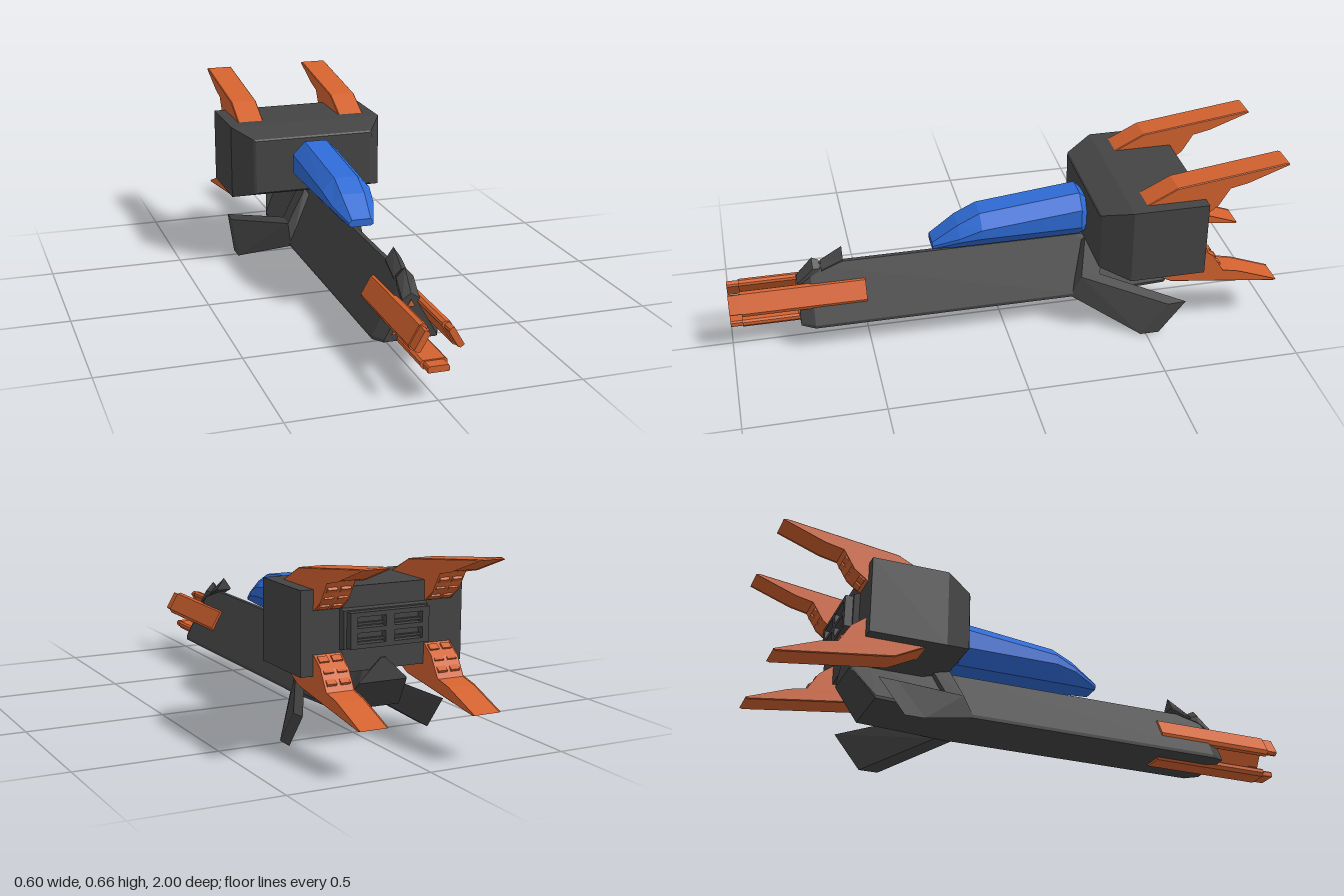
import * as THREE from 'three';

const material = (color) => new THREE.MeshStandardMaterial({ color, flatShading: true, side: THREE.DoubleSide });
const dark = material(0x444444);
const orange = material(0xd4622f);
const blue = material(0x2f6bd6);

function mesh(name, geometry, mat) {
  const m = new THREE.Mesh(geometry, mat);
  m.name = name;
  return m;
}

// Skin a list of rings (equal numbers of [x, y, z] points) and cap both ends
function loft(rings) {
  const tris = [];
  const n = rings[0].length;
  for (let i = 0; i + 1 < rings.length; i++) {
    for (let j = 0; j < n; j++) {
      const k = (j + 1) % n;
      const a = rings[i][j], b = rings[i][k], c = rings[i + 1][k], d = rings[i + 1][j];
      tris.push([a, b, c], [a, c, d]);
    }
  }
  const last = rings[rings.length - 1];
  for (let j = 1; j + 1 < n; j++) {
    tris.push([rings[0][0], rings[0][j + 1], rings[0][j]], [last[0], last[j], last[j + 1]]);
  }
  // Turn everything outward if the enclosed volume comes out negative
  const v = (p) => new THREE.Vector3(...p);
  const volume = tris.reduce((s, [a, b, c]) => s + v(a).dot(v(b).cross(v(c))), 0);
  if (volume < 0) tris.forEach((t) => t.reverse());
  const g = new THREE.BufferGeometry();
  g.setAttribute('position', new THREE.Float32BufferAttribute(tris.flat(2), 3));
  g.computeVertexNormals();
  return g;
}

// Mirror the +x half of an outline (listed bottom to top) into a full ring at z
const symmetric = (z, half) => [
  ...half.map(([x, y]) => [x, y, z]),
  ...half.map(([x, y]) => [-x, y, z]).reverse(),
];

const shapeOf = (pts) => new THREE.Shape(pts.map(([x, y]) => new THREE.Vector2(x, y)));

function createHull() {
  const triangle = [[0.115, 0.1], [0.116, 0.112], [0.008, 0.305]];
  return mesh('hull', loft([
    symmetric(-0.7, [[0.09, 0.225], [0.088, 0.23], [0.008, 0.305]]),
    symmetric(-0.61, [[0.115, 0.115], [0.116, 0.125], [0.008, 0.305]]),
    symmetric(-0.28, triangle),
    symmetric(0.7, triangle),
    symmetric(0.75, [[0.092, 0.105], [0.09, 0.115], [0.012, 0.255]]),
  ]), dark);
}

function createEngineBlock() {
  const rect = (z, w, y0, y1) => symmetric(z, [[w, y0], [w, y1]]);
  const group = new THREE.Group();
  group.name = 'engineBlock';
  group.add(mesh('engineHousing', loft([
    rect(-0.695, 0.3, 0.267, 0.548),
    rect(-0.42, 0.3, 0.267, 0.548),
    rect(-0.32, 0.237, 0.3, 0.517),
    rect(-0.315, 0.228, 0.306, 0.511),
  ]), dark));

  // Exhaust panel with a two by two grid of recessed openings
  group.add(mesh('exhaustBase', loft([
    rect(-0.715, 0.155, 0.348, 0.474),
    rect(-0.69, 0.162, 0.342, 0.48),
  ]), dark));
  const outline = shapeOf([[-0.145, 0.352], [0.145, 0.352], [0.145, 0.47], [-0.145, 0.47]]);
  for (const x of [-0.068, 0.068]) {
    for (const y of [0.385, 0.437]) {
      outline.holes.push(new THREE.Path([[-0.052, -0.018], [-0.052, 0.018], [0.052, 0.018], [0.052, -0.018]]
        .map(([dx, dy]) => new THREE.Vector2(x + dx, y + dy))));
      const slat = mesh('exhaustSlat', new THREE.BoxGeometry(0.104, 0.008, 0.014), dark);
      slat.position.set(x, y - 0.008, -0.721);
      group.add(slat);
    }
  }
  const frame = mesh('exhaustFrame', new THREE.ExtrudeGeometry(outline, { depth: 0.03, bevelEnabled: false }), dark);
  frame.position.z = -0.743;
  group.add(frame);
  return group;
}

function createCanopy() {
  // z, half width, half width of flats, then bottom, lower, upper and top heights
  const stations = [
    [-0.318, 0.06, 0.035, 0.335, 0.38, 0.43, 0.475],
    [-0.29, 0.09, 0.043, 0.33, 0.382, 0.455, 0.503],
    [0.08, 0.09, 0.043, 0.33, 0.382, 0.418, 0.463],
    [0.16, 0.078, 0.043, 0.33, 0.37, 0.385, 0.424],
    [0.255, 0.045, 0.035, 0.332, 0.337, 0.347, 0.358],
  ];
  return mesh('canopy', loft(stations.map(([z, w, f, a, b, c, d]) =>
    symmetric(z, [[f, a], [w, b], [w, c], [f, d]]))), blue);
}

// Swept wing: a bracket down the hull side, an elbow, then the blade
function createWing(side) {
  const rings = [
    [[0.035, 0.308, -0.32], [0.005, 0.26, -0.3], [0.005, 0.26, -0.37], [0.035, 0.308, -0.39]],
    [[0.113, 0.18, -0.29], [0.113, 0.102, -0.25], [0.113, 0.102, -0.315], [0.113, 0.185, -0.36]],
    [[0.267, 0.12, -0.58], [0.267, 0, -0.48], [0.267, 0, -0.55], [0.267, 0.123, -0.647]],
  ];
  return mesh(side > 0 ? 'leftWing' : 'rightWing',
    loft(rings.map((r) => r.map(([x, y, z]) => [x * side, y, z]))), dark);
}

// Tail fin, with ribs in the hollow behind its root
function createTailFin(x, up) {
  const group = new THREE.Group();
  group.name = (up > 0 ? 'upper' : 'lower') + (x > 0 ? 'Left' : 'Right') + 'TailFin';
  // z, height above the engine centre line
  const profile = [[-0.47, 0.135], [-0.59, 0.196], [-0.99, 0.249], [-1, 0.246],
    [-0.85, 0.19], [-0.785, 0.176], [-0.745, 0.11], [-0.695, 0.072], [-0.6, 0.072]];
  const ring = (w, s) => profile.map(([z, y]) => [x + w, 0.408 + up * (y - s), z]);
  group.add(mesh('finBlade', loft([ring(-0.05, 0.003), ring(-0.047, 0), ring(0.047, 0), ring(0.05, 0.003)]), orange));
  for (const [z, y] of [[-0.712, 0.088], [-0.742, 0.118], [-0.765, 0.15]]) {
    for (const dx of [-0.024, 0.024]) {
      const rib = mesh('finRib', new THREE.BoxGeometry(0.034, 0.016, 0.024), orange);
      rib.position.set(x + dx, 0.408 + up * y, z);
      rib.rotation.x = up * 0.6;
      group.add(rib);
    }
  }
  return group;
}

// One rail under the nose and one on each slanted flank, turned about the nose axis
function createRail(angle) {
  const section = (z, s) => symmetric(z, [[0.036 * s, -0.08], [0.046 * s, -0.068], [0.046 * s, -0.056], [0.038 * s, -0.05]]);
  const tip = (z) => symmetric(z, [[0.035, -0.076], [0.037, -0.07], [0.037, -0.06], [0.032, -0.054]]);
  const group = new THREE.Group();
  group.name = 'noseRail';
  group.add(mesh('railBody', loft([section(0.505, 1), section(0.957, 1)]), orange));
  group.add(mesh('railTip', loft([tip(0.95), tip(1)]), orange));
  group.position.y = 0.172;
  group.rotation.z = angle;
  return group;
}

function createNoseDetails() {
  const group = new THREE.Group();
  group.name = 'noseDetails';
  // Small lights in the corners of the front face
  for (const [x, y] of [[0, 0.229], [-0.052, 0.138], [0.052, 0.138]]) {
    const light = mesh('noseLight', new THREE.ExtrudeGeometry(
      shapeOf([[-0.014, -0.009], [0.014, -0.009], [0, 0.015]]), { depth: 0.012, bevelEnabled: false }), orange);
    light.position.set(x, y, 0.742);
    group.add(light);
  }
  // Two roof-shaped crests on top of the nose
  const roof = (z, base, eave, ridge, w) =>
    [[w, base, z], [w, eave, z], [0, ridge, z], [-w, eave, z], [-w, base, z]];
  group.add(mesh('rearCrest', loft([
    roof(0.58, 0.318, 0.325, 0.366, 0.028),
    roof(0.66, 0.285, 0.29, 0.318, 0.028),
  ]), dark));
  group.add(mesh('frontCrest', loft([
    roof(0.665, 0.285, 0.295, 0.318, 0.022),
    roof(0.69, 0.275, 0.3, 0.332, 0.03),
    roof(0.75, 0.235, 0.245, 0.265, 0.03),
  ]), dark));
  return group;
}

export function createModel() {
  const model = new THREE.Group();
  model.name = 'spacecraft';
  model.add(createHull(), createEngineBlock(), createCanopy(), createNoseDetails());
  for (const side of [-1, 1]) {
    model.add(createWing(side));
    for (const up of [-1, 1]) model.add(createTailFin(side * 0.205, up));
  }
  for (let i = 0; i < 3; i++) model.add(createRail(i * Math.PI * 2 / 3));
  return model;
}
